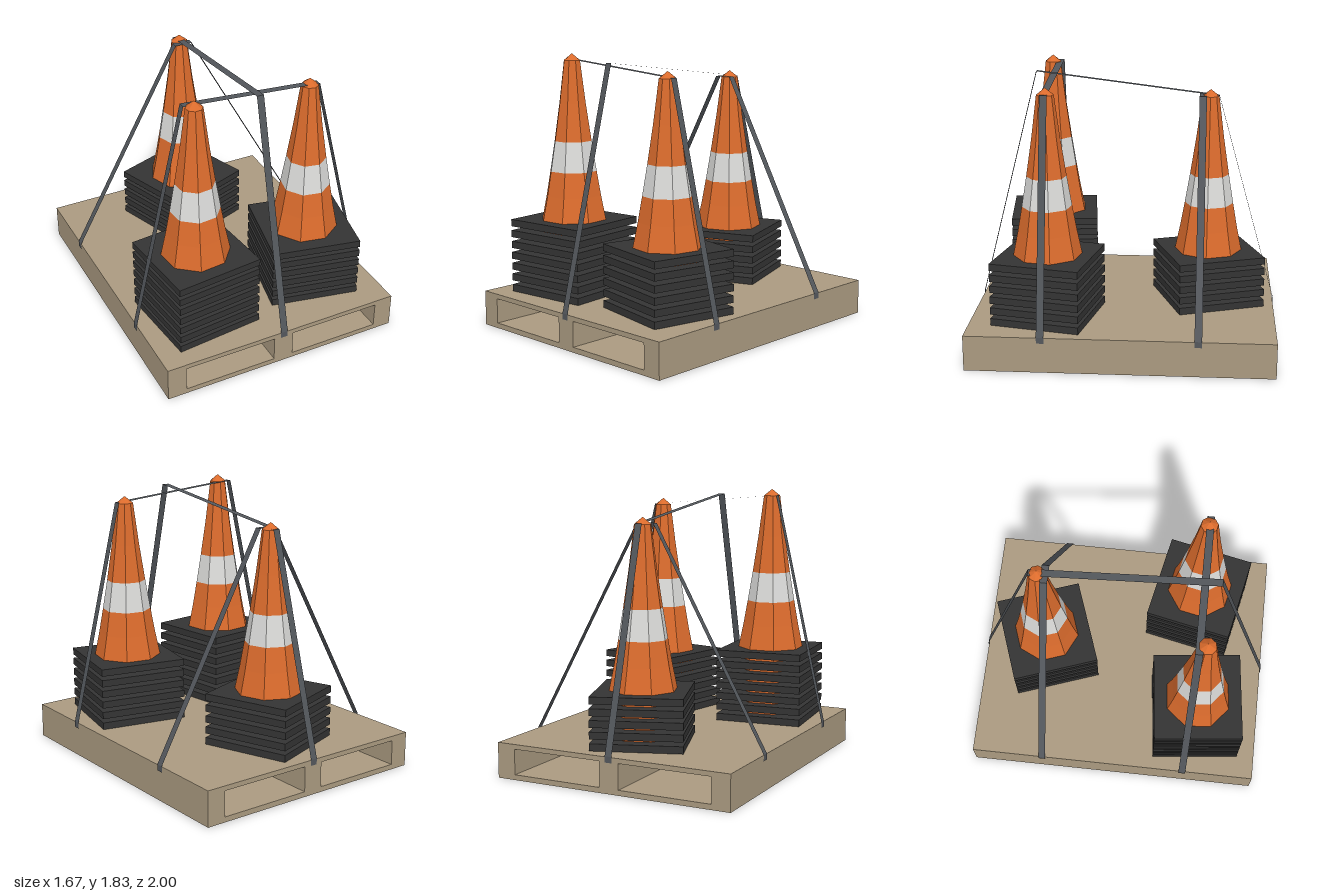
import * as THREE from 'three';

const flat = (name, color, extra = {}) => {
  const m = new THREE.MeshStandardMaterial({ color, flatShading: true, ...extra });
  m.name = name;
  return m;
};

const PALLET_TOP = 0.235;
const PLATE_STEP = 0.0745;
const PLATE_HEIGHT = 0.047;

export function createModel() {
  const wood = flat('pallet tan', 0xaa9a80);
  const orange = flat('cone orange', 0xdc6c2d);
  const white = flat('reflective white', 0xdcdcda);
  const rubber = flat('base black', 0x343434);
  const webbing = flat('strap grey', 0x53575c, { side: THREE.DoubleSide });

  const model = new THREE.Group();
  model.name = 'conesOnPallet';

  const add = (parent, name, geometry, material) => {
    const mesh = new THREE.Mesh(geometry, material);
    mesh.name = name;
    parent.add(mesh);
    return mesh;
  };

  // Pallet: a slab with two fork channels running front to back
  const rect = (Type, x0, y0, x1, y1) => {
    const p = new Type();
    p.moveTo(x0, y0);
    p.lineTo(x1, y0);
    p.lineTo(x1, y1);
    p.lineTo(x0, y1);
    p.closePath();
    return p;
  };
  const section = rect(THREE.Shape, -0.828, 0, 0.828, PALLET_TOP);
  section.holes.push(
    rect(THREE.Path, -0.7, 0.035, -0.068, 0.203),
    rect(THREE.Path, 0.068, 0.035, 0.7, 0.203)
  );
  const palletGeo = new THREE.ExtrudeGeometry(section, { depth: 1.99, bevelEnabled: false });
  palletGeo.translate(0, 0, -0.995);
  add(model, 'pallet', palletGeo, wood);

  // Eight-sided cone section through [radius, height] points
  const ring = (points) => {
    const geo = new THREE.LatheGeometry(points.map(([r, y]) => new THREE.Vector2(r, y)), 8, Math.PI / 8);
    return geo;
  };

  // Stack of cones: square bases below, one full cone on top
  const addStack = (name, count, x, z, turn) => {
    const stack = new THREE.Group();
    stack.name = name;
    stack.position.set(x, PALLET_TOP, z);
    stack.rotation.y = turn;
    for (let i = 0; i < count; i++) {
      const plate = add(stack, 'base', new THREE.BoxGeometry(0.595, PLATE_HEIGHT, 0.595), rubber);
      plate.position.y = i * PLATE_STEP + PLATE_HEIGHT / 2 + 0.003;
    }
    const top = (count - 1) * PLATE_STEP + PLATE_HEIGHT;
    add(stack, 'nestedCones', ring([[0.226, 0.01], [0.226, top - 0.01]]), orange);
    const cone = new THREE.Group();
    cone.name = 'topCone';
    cone.position.y = top;
    add(cone, 'lowerCone', ring([[0.226, 0], [0.192, 0.165], [0.163, 0.33]]), orange);
    add(cone, 'stripe', ring([[0.163, 0.33], [0.13, 0.53]]), white);
    add(cone, 'upperCone', ring([[0.13, 0.53], [0.092, 0.78], [0.056, 1.06]]), orange);
    add(cone, 'tip', ring([[0.056, 1.06], [0, 1.105]]), orange);
    stack.add(cone);
    model.add(stack);
  };
  addStack('rightFrontStack', 7, -0.415, 0.548, 0.105);
  addStack('leftFrontStack', 6, 0.412, 0.495, -0.206);
  addStack('backStack', 5, 0, -0.55, 0.344);

  // Flat ribbon along x through [x, y] points
  const ribbon = (points, width) => {
    const pos = [];
    const h = width / 2;
    for (let i = 0; i < points.length - 1; i++) {
      const [ax, ay] = points[i];
      const [bx, by] = points[i + 1];
      pos.push(ax, ay, h, bx, by, h, bx, by, -h);
      pos.push(ax, ay, h, bx, by, -h, ax, ay, -h);
    }
    const geo = new THREE.BufferGeometry();
    geo.setAttribute('position', new THREE.Float32BufferAttribute(pos, 3));
    geo.computeVertexNormals();
    return geo;
  };

  // Straps over the cone tops, ends folded down the pallet's sides
  const addStrap = (name, reach, tops) => {
    const path = [[-reach, 0.2], [-reach, 0.24], ...tops, [reach, 0.24], [reach, 0.2]];
    return add(model, name, ribbon(path, 0.048), webbing);
  };
  addStrap('frontStrap', 0.833, [[-0.475, 1.793], [0.47, 1.719]]).position.z = 0.5;
  addStrap('backStrap', 0.833, [[-0.06, 1.645], [0.06, 1.645]]).position.z = -0.5;
  // Turned so that the ribbon's +x end points to the back
  addStrap('lengthStrap', 1, [[-0.606, 1.793], [0.606, 1.645]]).rotation.y = Math.PI / 2;

  return model;
}
